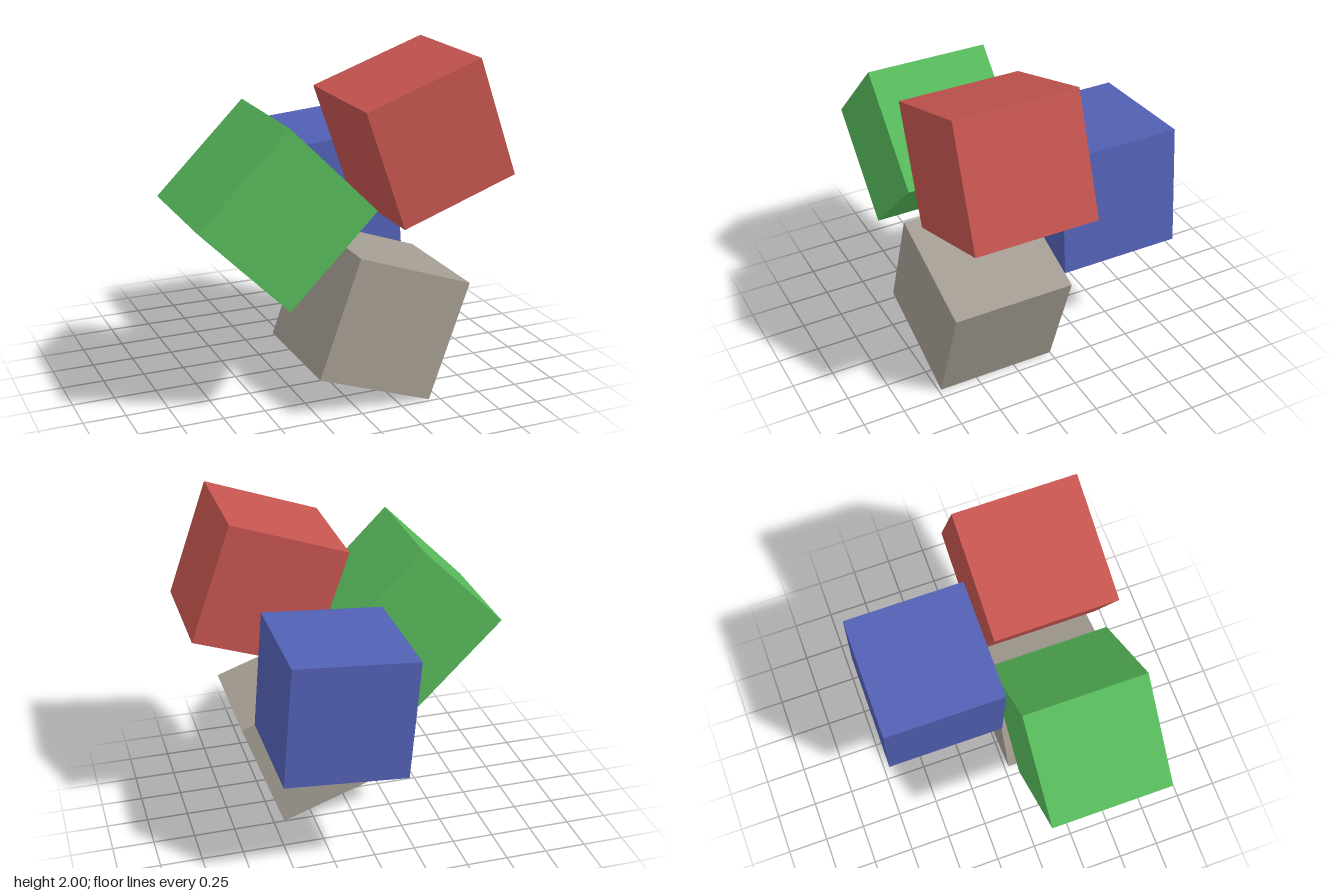
import * as THREE from 'three';

const SIDE = 0.732;

export function createModel() {
  const group = new THREE.Group();
  group.name = 'tiltedCubes';

  const geometry = new THREE.BoxGeometry(SIDE, SIDE, SIDE);

  // Each cube: name, colour name, colour, centre x, centre y, row (+1 front, -1 back), roll in degrees
  const cubes = [
    ['redCube', 'red', 0xc4544f, 0.478, 1.534, 1, 19.5],
    ['greenCube', 'green', 0x56b85a, -0.431, 1.2, 1, 45],
    ['greyCube', 'warmGrey', 0xa39c91, 0.212, 0.467, 1, -19.5],
    ['blueCube', 'blue', 0x5260b4, 0.205, 1.055, -1, 4.7],
  ];

  for (const [name, colorName, color, x, y, row, roll] of cubes) {
    const material = new THREE.MeshStandardMaterial({ color });
    material.name = colorName;
    const cube = new THREE.Mesh(geometry, material);
    cube.name = name;
    cube.position.set(x, y, row * SIDE / 2);
    cube.rotation.z = THREE.MathUtils.degToRad(roll);
    group.add(cube);
  }

  return group;
}
